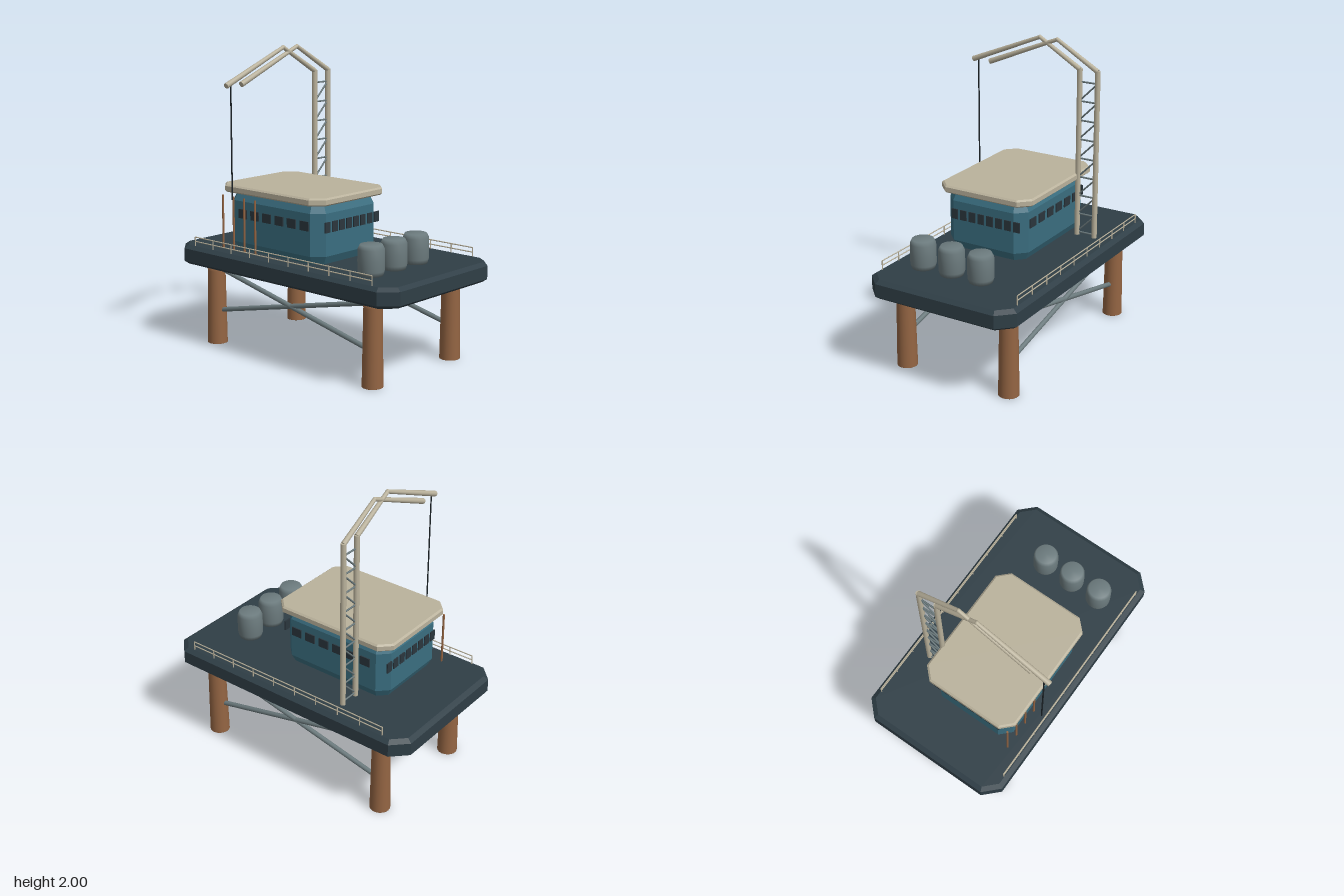
import * as THREE from 'three';

const mat = (name, color, side = THREE.FrontSide) => {
  const m = new THREE.MeshStandardMaterial({ color, side });
  m.name = name;
  return m;
};

export function createModel() {
  const root = new THREE.Group();
  root.name = 'offshorePlatform';
  const navy = mat('navy deck', 0x2f3e46);
  const teal = mat('teal wall', 0x3a6e80);
  const cream = mat('cream paint', 0xbab29c);
  const rust = mat('rust brown', 0x946543);
  const steel = mat('steel grey', 0x6c7b7e);
  const glass = mat('dark glass', 0x2b363d);
  const black = mat('black cable', 0x1c2327);

  const add = (name, geo, material, parent = root) => {
    const m = new THREE.Mesh(geo, material);
    m.name = name;
    parent.add(m);
    return m;
  };
  const group = (name) => {
    const g = new THREE.Group();
    g.name = name;
    root.add(g);
    return g;
  };

  // Round bar between two points, optionally tapered
  const bar = (name, a, b, r, material, parent = root, rEnd = r, sides = 10) => {
    const p = new THREE.Vector3(...a), q = new THREE.Vector3(...b);
    const d = q.clone().sub(p);
    const m = add(name, new THREE.CylinderGeometry(rEnd, r, d.length(), sides), material, parent);
    m.position.copy(p).add(q).multiplyScalar(0.5);
    m.quaternion.setFromUnitVectors(new THREE.Vector3(0, 1, 0), d.normalize());
    return m;
  };

  // Slab with cut corners and bevelled top and bottom edges
  const slab = (name, x0, x1, z0, z1, y0, y1, cut, bevel, bevelH, material) => {
    const w = (x1 - x0) / 2 - bevel, d = (z1 - z0) / 2 - bevel;
    const c = cut - bevel * 0.586;
    const s = new THREE.Shape([
      [w - c, -d], [w, -d + c], [w, d - c], [w - c, d],
      [-w + c, d], [-w, d - c], [-w, -d + c], [-w + c, -d],
    ].map(([x, y]) => new THREE.Vector2(x, y)));
    const geo = new THREE.ExtrudeGeometry(s, {
      depth: y1 - y0 - 2 * bevelH, bevelEnabled: true,
      bevelSize: bevel, bevelThickness: bevelH, bevelSegments: 1,
    });
    geo.rotateX(-Math.PI / 2);
    geo.translate((x0 + x1) / 2, y0 + bevelH, (z0 + z1) / 2);
    return add(name, geo, material);
  };

  slab('deck', -0.52, 0.547, -0.945, 0.94, 0.54, 0.67, 0.1, 0.03, 0.022, navy);
  slab('cabin', -0.372, 0.225, -0.58, 0.24, 0.665, 1.06, 0.07, 0.03, 0.06, teal);
  slab('cabinRoof', -0.415, 0.272, -0.625, 0.275, 1.055, 1.105, 0.075, 0.012, 0.01, cream);

  // Legs with a flared head, and crossed braces along each side
  const legProfile = [[0, 0], [0.067, 0], [0.067, 0.001], [0.059, 0.5], [0.066, 0.545], [0, 0.545]]
    .map(([x, y]) => new THREE.Vector2(x, y));
  const legs = group('legs'), braces = group('braces');
  for (const x of [-0.373, 0.398]) {
    for (const z of [-0.69, 0.69]) {
      add('leg', new THREE.LatheGeometry(legProfile, 20), rust, legs).position.set(x, 0, z);
    }
    for (const s of [-1, 1]) {
      bar('brace', [x, 0.375 - s * 0.153, -0.69], [x, 0.375 + s * 0.153, 0.69], 0.016, steel, braces);
    }
  }

  // Cabin windows on all four sides
  const windows = group('windows');
  for (let i = 0; i < 8; i++) {
    for (const z of [0.242, -0.582]) {
      add('window', new THREE.BoxGeometry(0.048, 0.068, 0.009), glass, windows)
        .position.set(-0.29 + i * 0.067, 0.911, z);
    }
  }
  for (let i = 0; i < 6; i++) {
    for (const x of [0.228, -0.375]) {
      add('window', new THREE.BoxGeometry(0.009, 0.06, 0.074), glass, windows)
        .position.set(x, 0.918, 0.122 - i * 0.11);
    }
  }

  // Storage tanks
  const tankProfile = [[0, 0], [0.075, 0], [0.084, 0.03], [0.085, 0.1], [0.083, 0.165], [0.07, 0.192], [0, 0.192]]
    .map(([x, y]) => new THREE.Vector2(x, y));
  const tanks = group('tanks');
  for (const x of [-0.29, -0.074, 0.142]) {
    add('tank', new THREE.LatheGeometry(tankProfile, 24), steel, tanks).position.set(x, 0.67, 0.602);
  }

  // Pipes beside the cabin
  const pipes = group('pipes');
  for (let i = 0; i < 4; i++) {
    const z = -0.6 + i * 0.1;
    bar('pipe', [-0.39, 0.67, z], [-0.39, 1.027, z], 0.007, rust, pipes);
  }

  // Handrails
  const rails = group('handrails');
  for (const x of [-0.484, 0.511]) {
    for (const y of [0.7, 0.73]) bar('rail', [x, y, -0.775], [x, y, 0.775], 0.004, cream, rails, 0.004, 6);
    for (let i = 0; i < 10; i++) {
      const z = -0.775 + i * 1.55 / 9;
      bar('railPost', [x, 0.665, z], [x, 0.73, z], 0.004, cream, rails, 0.004, 6);
    }
  }

  // Crane: twin masts, each with a bent boom
  const crane = group('crane');
  const cz = -0.388;
  for (const [mast, peak, tip] of [[0.27, -0.03, -0.545], [0.4, 0.1, -0.413]]) {
    bar('mast', [mast, 0.67, cz], [mast, 1.815, cz], 0.018, cream, crane);
    bar('upperBoom', [mast, 1.81, cz], [peak, 1.984, cz], 0.017, cream, crane, 0.013);
    bar('jib', [peak, 1.984, cz], [tip, 1.77, cz], 0.013, cream, crane, 0.019);
    const knuckle = add('knuckle', new THREE.SphereGeometry(0.014, 10, 8), cream, crane);
    knuckle.position.set(peak, 1.984, cz);
  }

  // Lattice between the masts
  for (let i = 0; i <= 8; i++) {
    const y = 0.69 + i * 0.13;
    bar('rung', [0.27, y, cz], [0.4, y, cz], 0.006, steel, crane, 0.006, 6);
    if (i < 8) bar('diagonal', [0.27, y, cz], [0.4, y + 0.13, cz], 0.006, steel, crane, 0.006, 6);
  }
  bar('hoistCable', [-0.505, 1.035, cz], [-0.505, 1.78, cz], 0.005, black, crane, 0.005, 6);

  return root;
}
